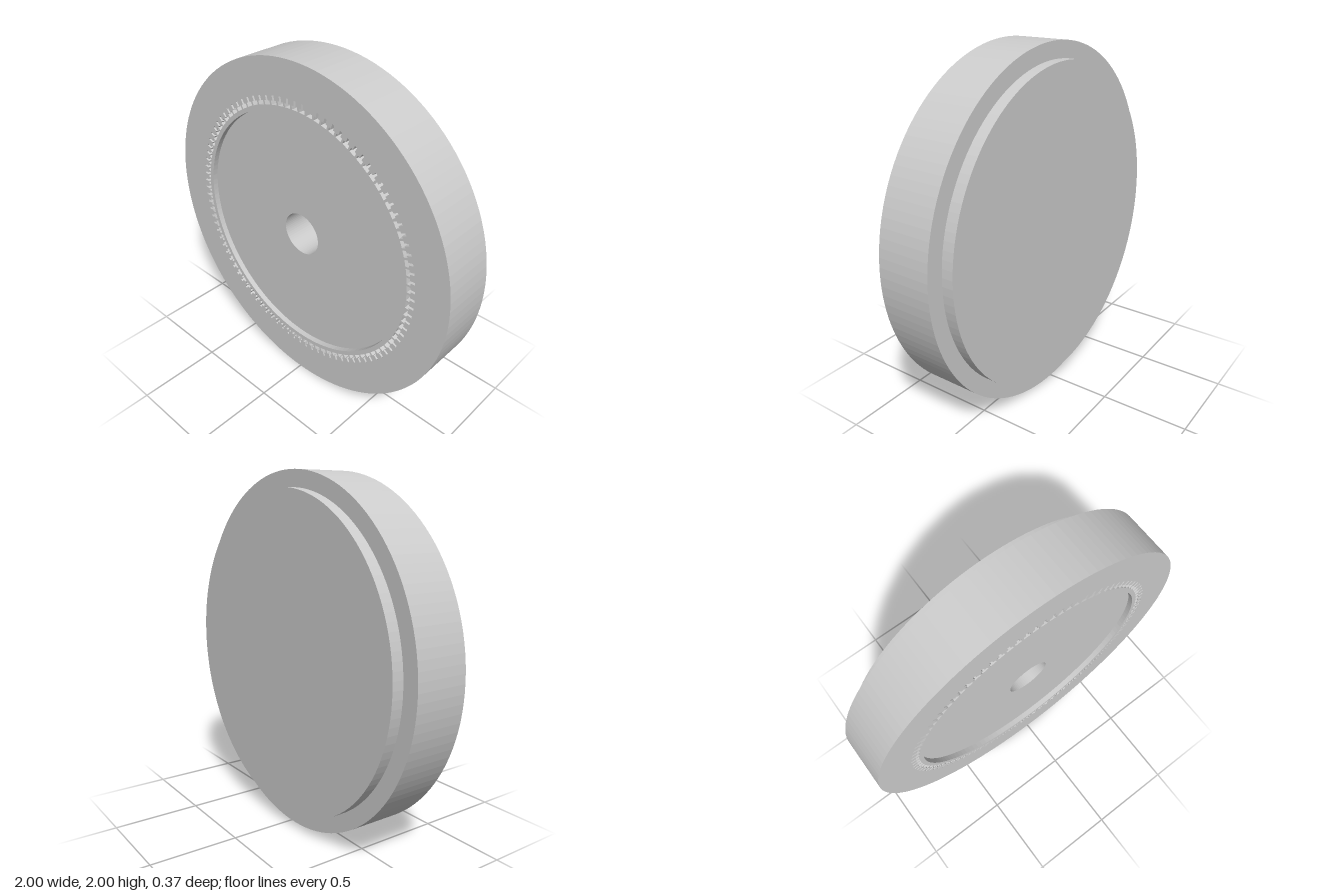
import * as THREE from 'three';

const SLOTS = 96;
const FRONT = 0.185, STEP = -0.12, BACK = -0.185;
const material = new THREE.MeshStandardMaterial({ color: 0xcccccc });

// Points of a regular circle outline
function circle(radius, sides) {
  return Array.from({ length: sides }, (_, i) => {
    const a = (i / sides) * Math.PI * 2;
    return new THREE.Vector2(Math.cos(a) * radius, Math.sin(a) * radius);
  });
}

// Plate with holes between two z planes
function plate(name, outline, holes, z0, z1) {
  const shape = new THREE.Shape(outline);
  for (const hole of holes) shape.holes.push(new THREE.Path(hole));
  const geometry = new THREE.ExtrudeGeometry(shape, { depth: z1 - z0, bevelEnabled: false });
  geometry.translate(0, 1, z0);
  const mesh = new THREE.Mesh(geometry, material);
  mesh.name = name;
  return mesh;
}

// T-shaped slot: wide bar on the inside, narrow stem pointing outward
const slotProfile = [
  [0.75, -0.019], [0.772, -0.019], [0.772, -0.007], [0.8, -0.007],
  [0.8, 0.007], [0.772, 0.007], [0.772, 0.019], [0.75, 0.019],
].map(([r, t]) => new THREE.Vector2(r, t));

export function createModel() {
  const model = new THREE.Group();
  model.name = 'slottedWheel';

  const slots = [];
  for (let i = 0; i < SLOTS; i++) {
    const angle = (i / SLOTS) * Math.PI * 2;
    slots.push(slotProfile.map((p) => p.clone().rotateAround(new THREE.Vector2(), angle)));
  }

  // Outer ring with its circle of slots
  model.add(plate('slottedRing', circle(1, 128), [circle(0.725, 128), ...slots], STEP, FRONT));

  // Inner disc, set slightly below the ring's front face, with the shaft hole
  model.add(plate('innerDisc', circle(0.725, 128), [circle(0.125, 64)], -0.09, FRONT - 0.032));

  // Floor of the shaft hole, seated inside the ring
  model.add(plate('holeFloor', circle(0.725, 128), [], STEP, -0.09));

  // Raised cover on the back
  model.add(plate('backCover', circle(0.907, 128), [], BACK, STEP));

  return model;
}
